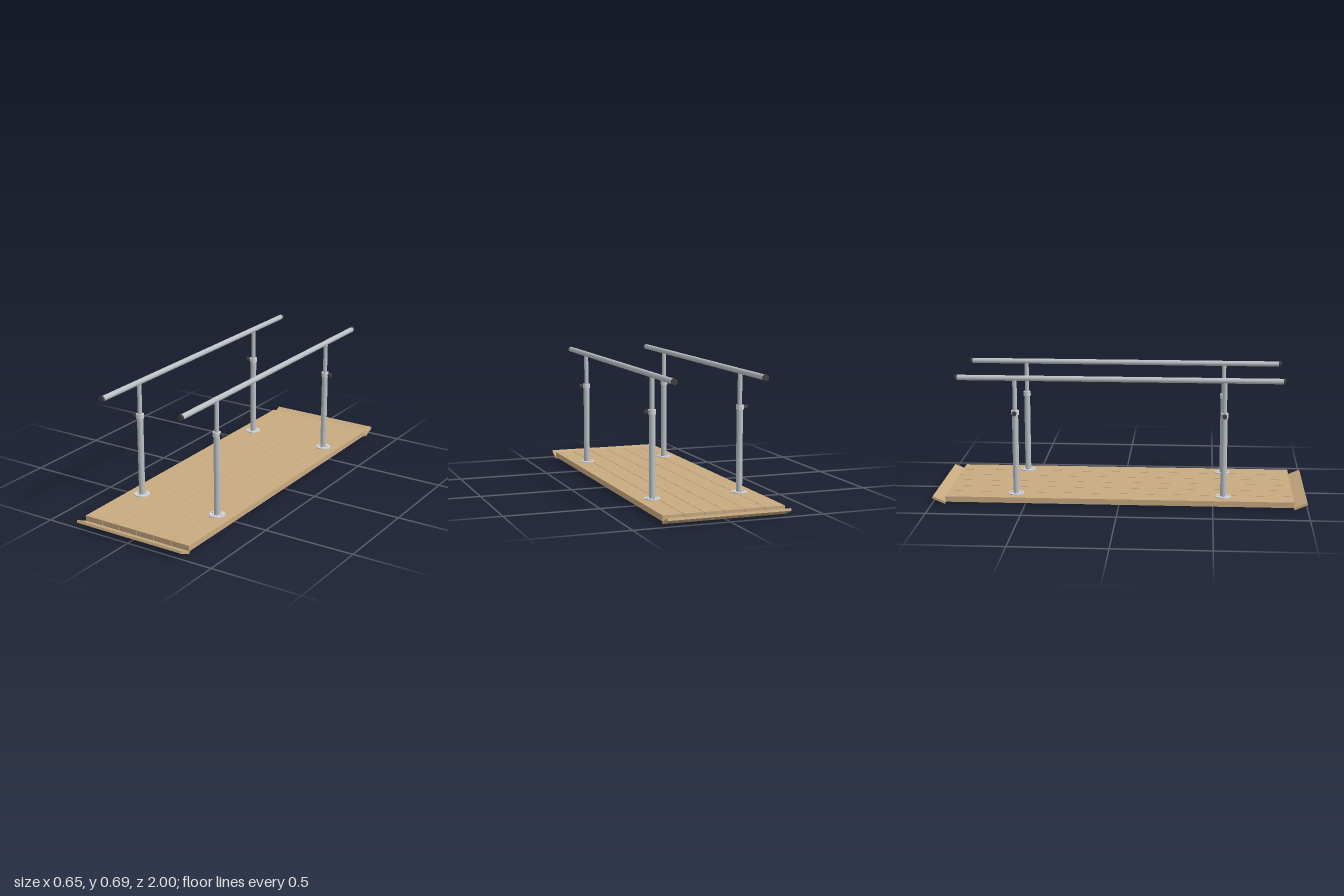
import * as THREE from 'three';

const wood = new THREE.MeshStandardMaterial({ name: 'wood', color: 0xc8aa80 });
const steel = new THREE.MeshStandardMaterial({ name: 'steel', color: 0xbcc0c5 });
const lightSteel = new THREE.MeshStandardMaterial({ name: 'light steel', color: 0xcfd2d5 });
const rubber = new THREE.MeshStandardMaterial({ name: 'black rubber', color: 0x434347 });

const WIDTH = 0.65, DECK_TOP = 0.042, RAIL_Y = 0.674, RAIL_X = 0.24, POST_Z = 0.555;

function add(parent, name, geometry, material, x = 0, y = 0, z = 0) {
  const mesh = new THREE.Mesh(geometry, material);
  mesh.name = name;
  mesh.position.set(x, y, z);
  parent.add(mesh);
  return mesh;
}

// upright cylinder between two heights
function tube(parent, name, radius, y0, y1, material, x = 0, z = 0, sides = 32) {
  const geometry = new THREE.CylinderGeometry(radius, radius, y1 - y0, sides);
  return add(parent, name, geometry, material, x, (y0 + y1) / 2, z);
}

// telescopic post; side is +1 or -1 and points the knob outwards
function createPost(side) {
  const post = new THREE.Group();
  post.name = 'post';
  tube(post, 'flange', 0.042, DECK_TOP, 0.047, lightSteel);
  for (let i = 0; i < 4; i++) {
    const a = i * Math.PI / 2;
    tube(post, 'bolt', 0.004, 0.047, 0.051, steel, 0.027 * Math.cos(a), 0.027 * Math.sin(a), 12);
  }
  tube(post, 'outerTube', 0.0165, 0.047, 0.477, steel);
  tube(post, 'collar', 0.0205, 0.476, 0.5, lightSteel);
  tube(post, 'innerTube', 0.0118, 0.5, RAIL_Y, steel);

  // clamping screw and knob
  const stem = add(post, 'knobStem', new THREE.CylinderGeometry(0.005, 0.005, 0.014, 16), steel, side * 0.021, 0.488, 0);
  const knob = add(post, 'knob', new THREE.CylinderGeometry(0.0118, 0.0118, 0.017, 24), rubber, side * 0.0325, 0.488, 0);
  stem.rotation.z = knob.rotation.z = Math.PI / 2;
  return post;
}

function createRail() {
  const rail = new THREE.Group();
  rail.name = 'handrail';
  const bar = add(rail, 'bar', new THREE.CylinderGeometry(0.0145, 0.0145, 1.72, 32), steel);
  bar.rotation.x = Math.PI / 2;
  for (const end of [-1, 1]) {
    const cap = add(rail, 'endCap', new THREE.CylinderGeometry(0.0157, 0.0157, 0.012, 32), rubber, 0, 0, end * 0.865);
    cap.rotation.x = Math.PI / 2;
  }
  return rail;
}

export function createModel() {
  const model = new THREE.Group();
  model.name = 'parallelBars';

  // deck of six planks with narrow gaps
  const pitch = WIDTH / 6;
  for (let i = 0; i < 6; i++) {
    add(model, 'plank', new THREE.BoxGeometry(pitch - 0.003, 0.03, 1.856), wood, (i - 2.5) * pitch, DECK_TOP - 0.015, 0);
  }

  // tilted end plates, cross-section in (z, y)
  const section = new THREE.Shape([
    [0.93, 0], [1, 0.03], [0.995, 0.042], [0.925, 0.012],
  ].map(([z, y]) => new THREE.Vector2(z, y)));
  const plate = new THREE.ExtrudeGeometry(section, { depth: WIDTH, bevelEnabled: false });
  plate.translate(0, 0, -WIDTH / 2);
  for (const end of [-1, 1]) {
    add(model, 'endPlate', plate, wood).rotation.y = -end * Math.PI / 2;
  }

  // handrails on pairs of posts
  for (const side of [-1, 1]) {
    const rail = createRail();
    rail.position.set(side * RAIL_X, RAIL_Y, 0);
    model.add(rail);
    for (const end of [-1, 1]) {
      const post = createPost(side);
      post.position.set(side * RAIL_X, 0, end * POST_Z);
      model.add(post);
    }
  }
  return model;
}
